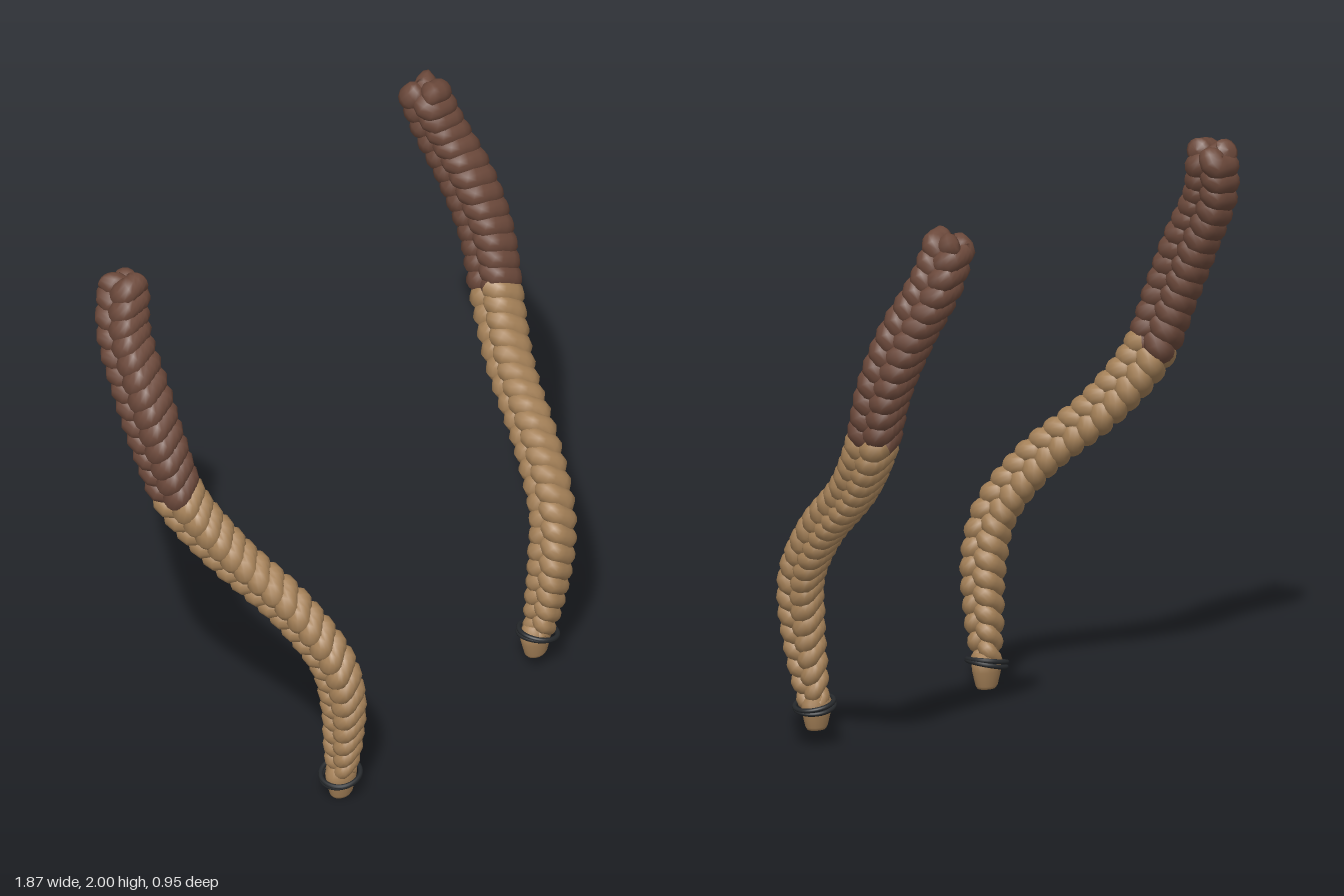
import * as THREE from 'three';

const tan = new THREE.MeshStandardMaterial({ color: 0xa58158 });
tan.name = 'tan hair';
const brown = new THREE.MeshStandardMaterial({ color: 0x6c493b });
brown.name = 'dark brown hair';
const black = new THREE.MeshStandardMaterial({ color: 0x25282b });
black.name = 'black band';

const PERIODS = 11.3, SIDES = 14;

// Braid thickness along its length, 0 = tail, 1 = root
const WIDTHS = [[0, 0.62], [0.06, 0.8], [0.16, 0.95], [0.45, 0.97], [0.62, 1.1], [0.8, 1.17], [1, 1.06]];
function widthAt(s) {
  for (let i = 1; i < WIDTHS.length; i++) {
    const [a, wa] = WIDTHS[i - 1], [b, wb] = WIDTHS[i];
    if (s <= b) return wa + (wb - wa) * (s - a) / (b - a);
  }
  return WIDTHS[WIDTHS.length - 1][1];
}

// Local axes of the braid: wide lies front to back, thick lies sideways
function frameAt(curve, s) {
  const p = curve.getPointAt(s), t = curve.getTangentAt(s);
  const wide = new THREE.Vector3(1, 0, 0).cross(t).normalize();
  const thick = t.clone().cross(wide).normalize();
  return { p, t, wide, thick };
}

// Centre line of one of the three plaited strands
function strandPoint(curve, s, phase, side) {
  const c = Math.min(1, Math.max(0, s));
  const f = frameAt(curve, c), a = s * PERIODS * Math.PI * 2 + phase, w = widthAt(c);
  return f.p.addScaledVector(f.wide, 0.043 * w * Math.sin(a))
    .addScaledVector(f.thick, side * 0.033 * w * Math.sin(2 * a))
    .addScaledVector(f.t, (s - c) * 2.4);
}

// Sweep a round section along a strand from s0 to s1, swelling at each outer loop
function strandGeometry(curve, s0, s1, phase, side) {
  const steps = Math.ceil((s1 - s0) * PERIODS * 24);
  const pos = [], idx = [];
  const ring = (s, scale, shift) => {
    const c = strandPoint(curve, s, phase, side);
    const t = strandPoint(curve, s + 0.001, phase, side)
      .sub(strandPoint(curve, s - 0.001, phase, side)).normalize();
    const n = frameAt(curve, s).thick.clone();
    n.addScaledVector(t, -n.dot(t)).normalize();
    const b = t.clone().cross(n);
    const a = s * PERIODS * Math.PI * 2 + phase;
    const r = 0.041 * widthAt(s) * (0.94 + 0.1 * Math.abs(Math.sin(2 * a))) * scale;
    c.addScaledVector(t, shift);
    for (let j = 0; j < SIDES; j++) {
      const q = j / SIDES * Math.PI * 2;
      const v = c.clone().addScaledVector(n, r * Math.cos(q)).addScaledVector(b, r * Math.sin(q));
      pos.push(v.x, v.y, v.z);
    }
  };
  if (s0 === 0) ring(s0, 0.001, -0.01);
  for (let i = 0; i <= steps; i++) ring(s0 + (s1 - s0) * i / steps, 1, 0);
  if (s1 === 1) { ring(1, 0.7, 0.014); ring(1, 0.001, 0.02); }
  const rings = pos.length / 3 / SIDES;
  for (let i = 0; i < rings - 1; i++) for (let j = 0; j < SIDES; j++) {
    const a = i * SIDES + j, b = i * SIDES + (j + 1) % SIDES;
    idx.push(a, b, a + SIDES, b, b + SIDES, a + SIDES);
  }
  const g = new THREE.BufferGeometry();
  g.setAttribute('position', new THREE.Float32BufferAttribute(pos, 3));
  g.setIndex(idx);
  g.computeVertexNormals();
  return g;
}

function add(group, name, geometry, material) {
  const m = new THREE.Mesh(geometry, material);
  m.name = name;
  group.add(m);
  return m;
}

function makeBraid(name, points, side, bottom, bandY, bandTilt) {
  const group = new THREE.Group();
  group.name = name;
  const curve = new THREE.CatmullRomCurve3(points.map(p => new THREE.Vector3(side * p[0], p[1], p[2])));
  curve.arcLengthDivisions = 600;

  // Colour change at about 1.22 high
  let split = 0;
  while (curve.getPointAt(split).y < 1.22) split += 0.002;
  for (let k = 0; k < 3; k++) {
    const phase = k * Math.PI * 2 / 3;
    add(group, 'lowerStrand', strandGeometry(curve, 0, split, phase, side), tan);
    add(group, 'upperStrand', strandGeometry(curve, split, 1, phase, side), brown);
  }

  // Tapered tuft below the band
  const profile = [[0, 0], [0.038, 0.003], [0.046, 0.014], [0.06, 0.065], [0.064, 0.1], [0.045, 0.13], [0, 0.14]];
  const tuft = add(group, 'tailTuft',
    new THREE.LatheGeometry(profile.map(p => new THREE.Vector2(...p)), 20), tan);
  tuft.position.set(side * 0.505, bottom, 0.366);
  tuft.scale.z = 0.75;

  // Tie band, a doubled loop
  const band = new THREE.Group();
  band.name = 'tieBand';
  for (const d of [-0.005, 0.005]) {
    const loop = add(band, 'bandLoop', new THREE.TorusGeometry(0.069, 0.0085, 10, 40), black);
    loop.rotation.x = Math.PI / 2 + d * 12;
    loop.position.y = d;
  }
  band.position.set(side * 0.512, bandY, 0.37);
  band.rotation.z = bandTilt;
  group.add(band);
  return group;
}

export function createModel() {
  const model = new THREE.Group();
  model.name = 'braids';
  // Centre lines as [distance from middle, y, z]
  const right = [[0.507, 0.1, 0.368], [0.52, 0.25, 0.388], [0.535, 0.42, 0.402], [0.57, 0.6, 0.383],
    [0.64, 0.8, 0.255], [0.74, 1, 0.045], [0.82, 1.2, -0.095], [0.85, 1.4, -0.165],
    [0.85, 1.6, -0.25], [0.825, 1.8, -0.355], [0.775, 1.955, -0.395]];
  const left = [[0.512, 0.14, 0.37], [0.522, 0.27, 0.388], [0.537, 0.43, 0.402], [0.575, 0.61, 0.38],
    [0.64, 0.8, 0.255], [0.735, 1, 0.045], [0.82, 1.2, -0.095], [0.85, 1.4, -0.165],
    [0.84, 1.6, -0.25], [0.805, 1.8, -0.355], [0.77, 1.945, -0.39]];
  model.add(makeBraid('rightBraid', right, -1, 0, 0.092, 0.22));
  model.add(makeBraid('leftBraid', left, 1, 0.055, 0.145, -0.22));
  return model;
}
